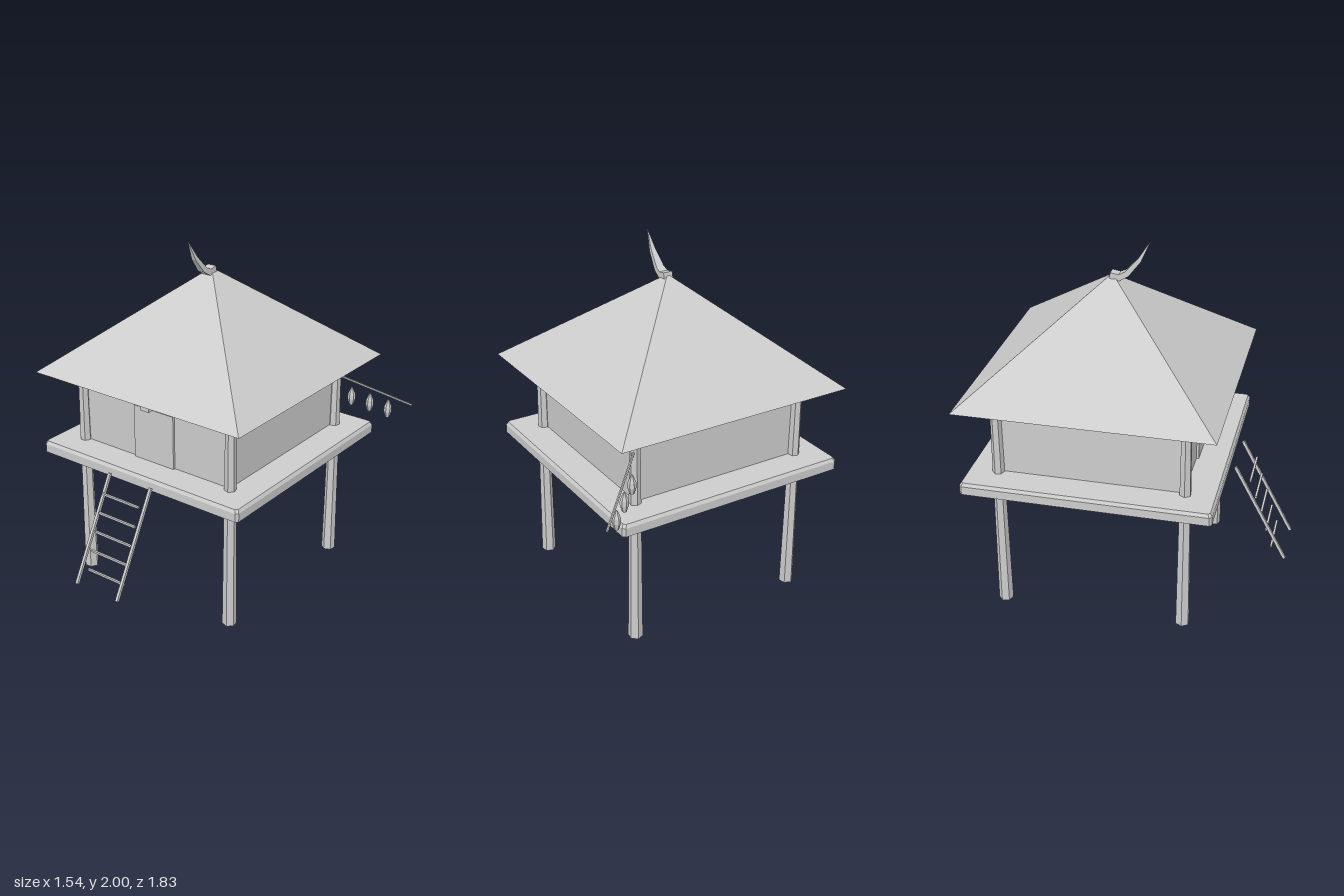
import * as THREE from 'three';

const CX = -0.08, CZ = -0.102; // centre of the house

export function createModel() {
  const root = new THREE.Group();
  root.name = 'stiltHouse';
  const wood = new THREE.MeshStandardMaterial({ color: 0xcccccc, flatShading: true, side: THREE.DoubleSide });
  wood.name = 'pale grey';

  const add = (name, geometry, x = 0, y = 0, z = 0) => {
    const mesh = new THREE.Mesh(geometry, wood);
    mesh.name = name;
    mesh.position.set(x, y, z);
    root.add(mesh);
    return mesh;
  };
  const box = (name, w, h, d, x, y, z) => add(name, new THREE.BoxGeometry(w, h, d), x, y, z);
  const bar = (name, a, b, w, d, sides) => {
    const p = new THREE.Vector3(...a), q = new THREE.Vector3(...b);
    const len = p.distanceTo(q);
    const geo = sides ? new THREE.CylinderGeometry(w, w, len, sides) : new THREE.BoxGeometry(w, len, d);
    const mesh = add(name, geo);
    mesh.position.copy(p).lerp(q, 0.5);
    mesh.quaternion.setFromUnitVectors(new THREE.Vector3(0, 1, 0), q.sub(p).normalize());
    return mesh;
  };

  // Joins rings of equal point count; optionally caps the ends
  const loft = (rings, capStart, capEnd) => {
    const pos = [];
    const n = rings[0].length;
    const tri = (...pts) => pts.forEach((p) => pos.push(...p));
    for (let i = 0; i + 1 < rings.length; i++) {
      for (let j = 0; j < n; j++) {
        const k = (j + 1) % n, a = rings[i], b = rings[i + 1];
        tri(a[j], a[k], b[k]);
        tri(a[j], b[k], b[j]);
      }
    }
    const first = rings[0], last = rings[rings.length - 1];
    for (let j = 1; j + 1 < n; j++) {
      if (capStart) tri(first[0], first[j + 1], first[j]);
      if (capEnd) tri(last[0], last[j], last[j + 1]);
    }
    const g = new THREE.BufferGeometry();
    g.setAttribute('position', new THREE.Float32BufferAttribute(pos, 3));
    g.computeVertexNormals();
    return g;
  };

  // Hollow pyramid roof
  const roof = new THREE.ConeGeometry(0.69 * Math.SQRT2, 0.56, 4, 1, true);
  roof.rotateY(Math.PI / 4);
  add('roof', roof, CX, 1.53, CZ);

  // Walls
  const square = (h) => [[-h, -h], [h, -h], [h, h], [-h, h]].map((p) => new THREE.Vector2(...p));
  const wallShape = new THREE.Shape(square(0.497));
  wallShape.holes.push(new THREE.Path(square(0.48)));
  const walls = new THREE.ExtrudeGeometry(wallShape, { depth: 0.42, bevelEnabled: false });
  walls.rotateX(-Math.PI / 2);
  add('walls', walls, CX, 0.825, CZ);

  // Platform: chamfered tray, open underneath
  const octagon = (h, c, y) => [
    [h, h - c], [h - c, h], [c - h, h], [-h, h - c],
    [-h, c - h], [c - h, -h], [h - c, -h], [h, c - h],
  ].map(([x, z]) => [x, y, -z]);
  add('platform', loft([
    octagon(0.675, 0.014, 0.764), octagon(0.675, 0.014, 0.812), octagon(0.664, 0.012, 0.83),
  ], false, true), CX, 0, CZ);

  // Corner posts
  let turn = 0.2;
  for (const sx of [-1, 1]) {
    for (const sz of [-1, 1]) {
      const post = add('cornerPost', new THREE.CylinderGeometry(0.028, 0.04, 1.3, 6),
        CX + sx * 0.508, 0.65, CZ + sz * 0.507);
      post.rotation.y = turn;
      turn += 0.35;
    }
  }

  // Door with the carved head above it
  box('door', 0.27, 0.31, 0.02, -0.085, 0.985, 0.398);
  const head = (w, h, y, z) => [[-w, y - h], [w, y - h], [w, y + h], [-w, y + h]].map(([x, v]) => [x, v, z]);
  add('carvedHead', loft([
    head(0.05, 0.032, 1.222, 0.39), head(0.05, 0.032, 1.222, 0.472), head(0.04, 0.02, 1.212, 0.49),
  ], true, true), CX - 0.003, 0, 0);
  box('carvedJaw', 0.055, 0.03, 0.085, CX - 0.003, 1.178, 0.437);

  // Ladder
  for (const x of [-0.225, 0.06]) bar('ladderRail', [x, 0.808, 0.612], [x, 0.256, 0.908], 0.016, 0.016);
  for (let i = 0; i < 5; i++) {
    box('ladderRung', 0.255, 0.012, 0.012, -0.0825, 0.722 - i * 0.102, 0.695 + i * 0.0335);
  }

  // Sloping pole with three hanging lanterns
  bar('lanternPole', [0.43, 1.14, -0.612], [0.765, 0.93, -0.912], 0.007, 0, 6);
  const profile = [[0, -0.055], [0.012, -0.053], [0.023, -0.015], [0.022, 0.012], [0.006, 0.053], [0, 0.054]]
    .map((p) => new THREE.Vector2(...p));
  for (let i = 0; i < 3; i++) {
    add('lantern', new THREE.LatheGeometry(profile, 6), 0.492 + i * 0.084, 0.995 - i * 0.041, -0.687 - i * 0.067);
  }

  // Curved horn on the roof peak: z, y, half width, half thickness, tilt
  const horn = [
    [-0.11, 1.807, 0.027, 0.016, -0.2], [-0.06, 1.797, 0.026, 0.018, 0.1], [-0.02, 1.82, 0.023, 0.015, 0.75],
    [0.045, 1.897, 0.014, 0.011, 0.95], [0.1, 2.0, 0.001, 0.001, 1.1],
  ].map(([z, y, w, t, a]) => [[-1, -1], [1, -1], [1, 1], [-1, 1]]
    .map(([u, v]) => [CX + u * w, y + v * t * Math.cos(a), z - v * t * Math.sin(a)]));
  add('roofHorn', loft(horn, true, true));

  return root;
}
